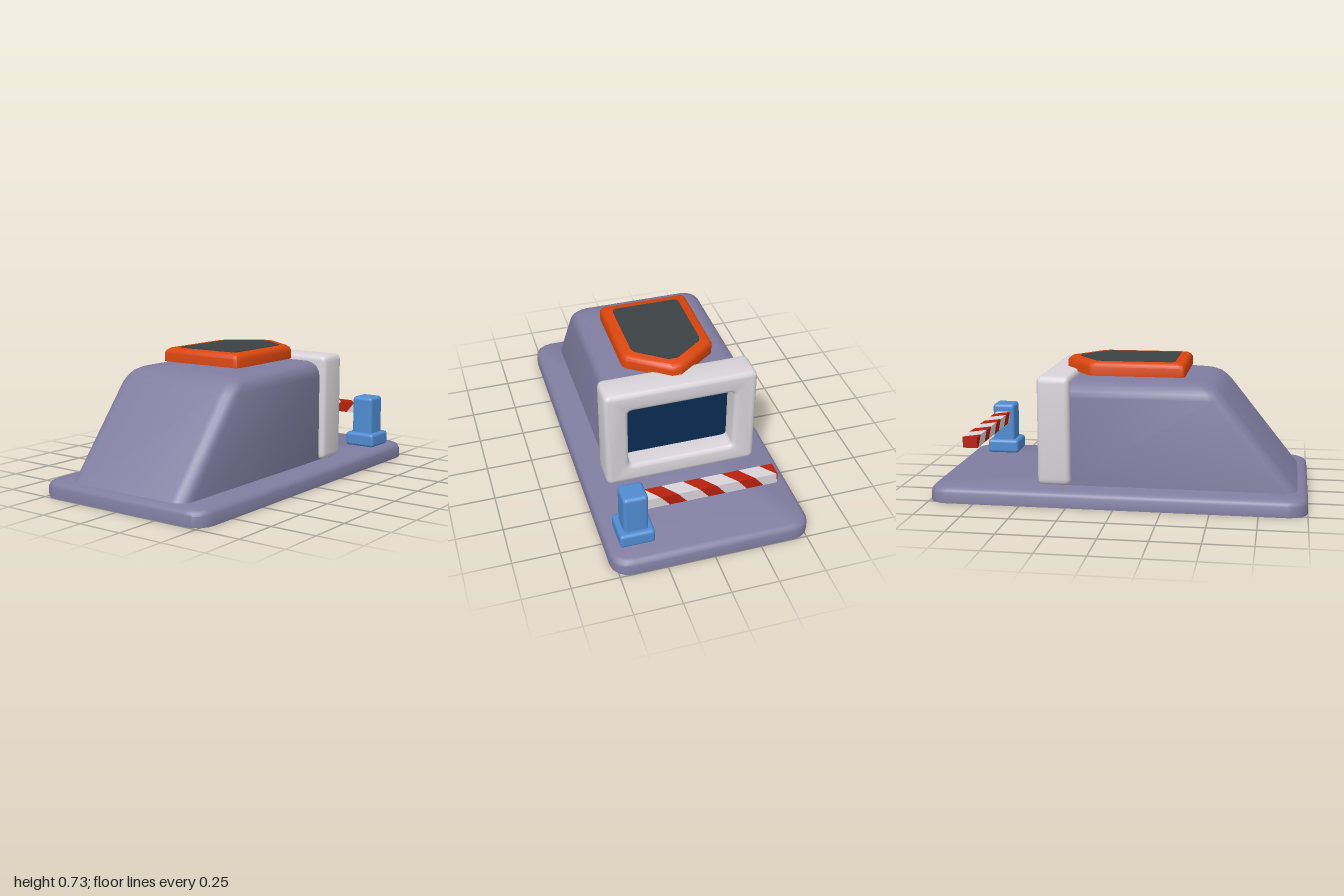
import * as THREE from 'three';
import { toCreasedNormals } from 'three/addons/utils/BufferGeometryUtils.js';
import { RoundedBoxGeometry } from 'three/addons/geometries/RoundedBoxGeometry.js';

const mat = (name, color, side = THREE.FrontSide) => {
  const m = new THREE.MeshStandardMaterial({ color, side });
  m.name = name;
  return m;
};

// Rounded rectangle loop in the xz plane, clockwise from above
function rectRing(y, hw, front, back, rFront, rBack, n = 4) {
  const pts = [];
  const corners = [[1, 1, rFront, 0], [-1, 1, rFront, 1], [-1, -1, rBack, 2], [1, -1, rBack, 3]];
  for (const [sx, sz, r, q] of corners) {
    const cx = sx * (hw - r), cz = sz > 0 ? front - r : back + r;
    for (let i = 0; i <= n; i++) {
      const a = (q + i / n) * Math.PI / 2;
      pts.push([cx + r * Math.cos(a), y, cz + r * Math.sin(a)]);
    }
  }
  return pts;
}

// Arrow-shaped pentagon loop with softened corners
function arrowRing(y, inset) {
  const w = 0.25 - inset, f = 0.34 - inset, s = -0.16 + 0.5 * inset, t = -0.33 + 1.2 * inset;
  const c = 0.025;
  const half = [[w, s - 0.015], [w, s + 0.015], [w, f - c], [w - c * 0.3, f - c * 0.3], [w - c, f]];
  half[0][0] -= 0.012;
  const right = [[0.025, t], ...half];
  const left = right.map(([x, z]) => [-x, z]).reverse();
  return [...right, ...left].map(([x, z]) => [x, y, z]);
}

// Skin over stacked loops, closed on top and open below
function loft(rings) {
  const n = rings[0].length, pos = rings.flat(2), idx = [];
  for (let k = 0; k < rings.length - 1; k++) {
    for (let i = 0; i < n; i++) {
      const a = k * n + i, b = k * n + (i + 1) % n;
      idx.push(a, a + n, b, b, a + n, b + n);
    }
  }
  const top = rings[rings.length - 1], c = pos.length / 3, o = c - n;
  const mid = [0, 1, 2].map(j => top.reduce((s, p) => s + p[j], 0) / n);
  pos.push(...mid);
  for (let i = 0; i < n; i++) idx.push(c, o + (i + 1) % n, o + i);
  const g = new THREE.BufferGeometry();
  g.setAttribute('position', new THREE.Float32BufferAttribute(pos, 3));
  g.setIndex(idx);
  return toCreasedNormals(g, 0.6);
}

// Rectangular outline with rounded corners
function roundRect(shape, x, y0, y1, r) {
  shape.moveTo(-x + r, y0);
  shape.lineTo(x - r, y0).quadraticCurveTo(x, y0, x, y0 + r);
  shape.lineTo(x, y1 - r).quadraticCurveTo(x, y1, x - r, y1);
  shape.lineTo(-x + r, y1).quadraticCurveTo(-x, y1, -x, y1 - r);
  shape.lineTo(-x, y0 + r).quadraticCurveTo(-x, y0, -x + r, y0);
  return shape;
}

// One slanted piece of the barrier arm between two oblique cuts
function armPiece(x0, x1) {
  const min = -0.38, max = 0.33;
  const g = new THREE.BoxGeometry(1, 0.06, 0.08);
  const p = g.attributes.position;
  for (let i = 0; i < p.count; i++) {
    const slant = 0.8 * (p.getZ(i) + p.getY(i));
    const x = (p.getX(i) < 0 ? x0 : x1) + slant;
    p.setX(i, Math.min(max, Math.max(min, x)));
  }
  const flat = g.toNonIndexed();
  flat.computeVertexNormals();
  return flat;
}

export function createModel() {
  const group = new THREE.Group();
  const purple = mat('purple grey', 0x807da0, THREE.DoubleSide);
  const white = mat('off white', 0xd8d4da);
  const orange = mat('orange', 0xdb460e, THREE.DoubleSide);
  const dark = mat('charcoal', 0x3b4144);
  const navy = mat('navy', 0x0a2b54);
  const blue = mat('blue', 0x508cd2);
  const red = mat('red', 0xb8200c);

  const add = (name, geo, material, x = 0, y = 0, z = 0, parent = group) => {
    const m = new THREE.Mesh(geo, material);
    m.name = name;
    m.position.set(x, y, z);
    parent.add(m);
    return m;
  };

  // Hollow ground slab with a softened upper edge
  const slab = [[0, 0], [0.055, 0], [0.068, 0.006], [0.078, 0.016], [0.085, 0.032]]
    .map(([y, i]) => rectRing(y, 0.53 - i, 1 - i, -1 + i, 0.1 - i * 0.5, 0.1 - i * 0.5));
  add('base', loft(slab), purple);

  // Wedge-shaped building with a sloping front
  const hall = [[0.08, 0.38, 0.95], [0.56, 0.38, 0.567], [0.59, 0.374, 0.538],
    [0.615, 0.358, 0.51], [0.632, 0.33, 0.475], [0.64, 0.3, 0.43]]
    .map(([y, w, f]) => rectRing(y, w, f, -0.3, 0.075, 0.005));
  add('building', loft(hall), purple);

  // Door surround
  const b = 0.025;
  const outline = roundRect(new THREE.Shape(), 0.415, 0.087, 0.672, 0.035);
  outline.holes.push(roundRect(new THREE.Path(), 0.29, 0.195, 0.56, 0.025));
  const surround = new THREE.ExtrudeGeometry(outline, {
    depth: 0.175 - 2 * b, bevelSize: b, bevelThickness: b, bevelOffset: -b,
    bevelSegments: 3, curveSegments: 4,
  });
  add('doorFrame', toCreasedNormals(surround, 0.6), white, 0, 0, -0.425 + b);
  add('doorPanel', new THREE.BoxGeometry(0.6, 0.385, 0.008), navy, 0, 0.378, -0.308);

  // Roof arrow with its dark inlay
  const arrow = [[0.658, 0], [0.705, 0], [0.72, 0.007], [0.73, 0.022]]
    .map(([y, i]) => arrowRing(y, i));
  add('roofArrow', loft(arrow), orange);
  add('roofArrowInlay', loft([arrowRing(0.728, 0.06), arrowRing(0.733, 0.06)]), dark);

  // Barrier: footing, post and striped arm
  const barrier = new THREE.Group();
  barrier.name = 'barrier';
  group.add(barrier);
  add('barrierFooting', new RoundedBoxGeometry(0.185, 0.08, 0.185, 3, 0.018), blue, 0.375, 0.122, -0.8, barrier);
  add('barrierPost', new RoundedBoxGeometry(0.13, 0.25, 0.13, 3, 0.02), blue, 0.375, 0.25, -0.8, barrier);
  const step = 0.205, w = 0.09;
  for (let i = 0; i < 4; i++) {
    const x = -0.41 + i * step;
    add('armRedStripe', armPiece(x - w / 2, x + w / 2), red, 0, 0.3, -0.8, barrier);
    add('armWhiteStripe', armPiece(x + w / 2, x + step - w / 2), white, 0, 0.3, -0.8, barrier);
  }
  return group;
}
